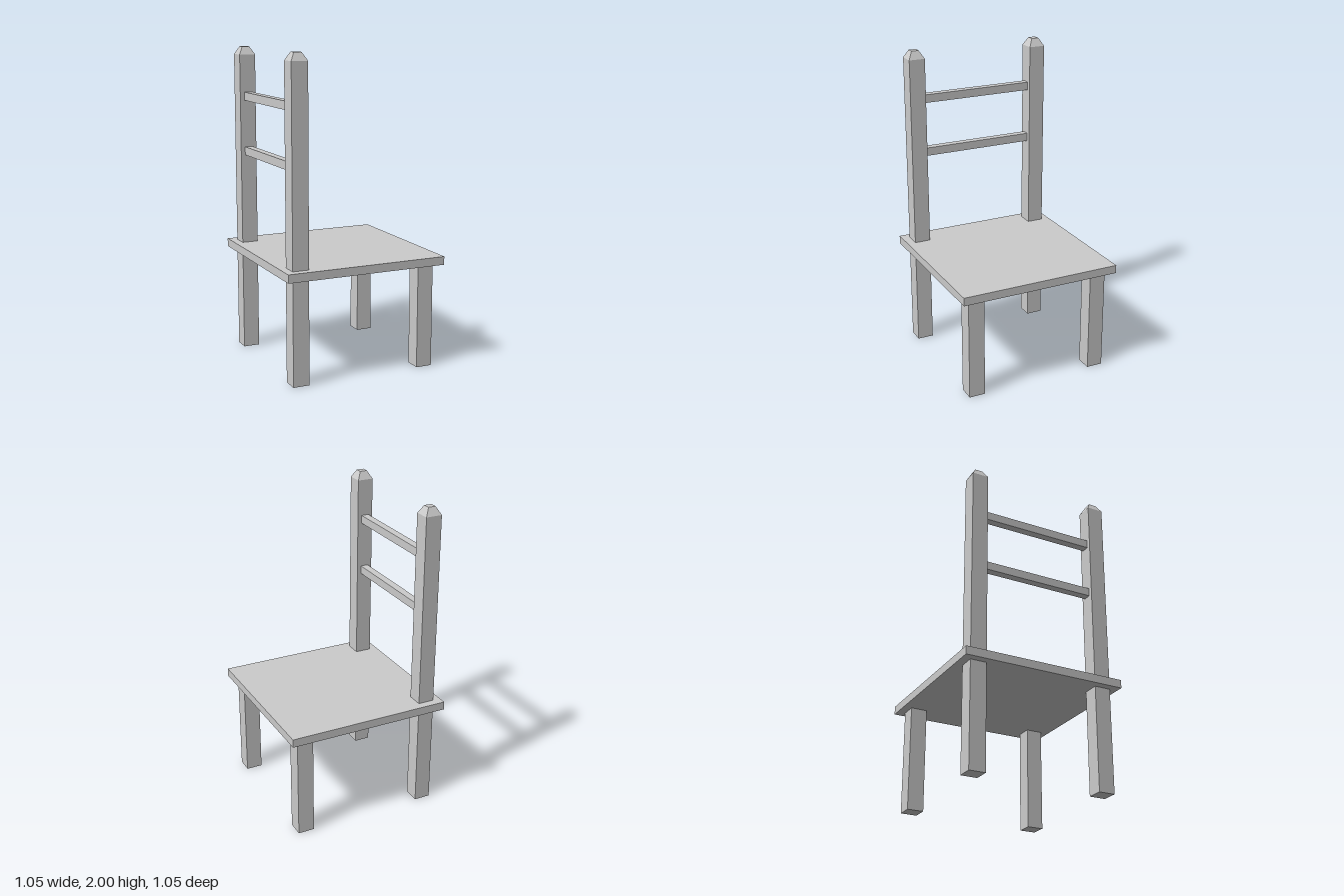
import * as THREE from 'three';

const material = new THREE.MeshStandardMaterial({ color: 0xcccccc, flatShading: true });

const LEG = 0.105;         // leg and post thickness
const OFFSET = 0.423;      // leg centres from the middle
const SEAT_BOTTOM = 0.667;
const SEAT_THICK = 0.053;
const SHOULDER = 1.95;     // where the post tops begin to taper

function addBox(parent, name, w, h, d, x, y, z) {
  const mesh = new THREE.Mesh(new THREE.BoxGeometry(w, h, d), material);
  mesh.name = name;
  mesh.position.set(x, y, z);
  parent.add(mesh);
  return mesh;
}

// Square post with a chamfered, flat-topped tip
function addPost(parent, name, x, z) {
  const r = LEG / 2 * Math.SQRT2;
  const profile = [[0, 0], [r, 0], [r, SHOULDER], [0.024 * Math.SQRT2, 2], [0, 2]]
    .map(([px, py]) => new THREE.Vector2(px, py));
  const geometry = new THREE.LatheGeometry(profile, 4, Math.PI / 4).toNonIndexed();
  geometry.computeVertexNormals();
  const mesh = new THREE.Mesh(geometry, material);
  mesh.name = name;
  mesh.position.set(x, 0, z);
  parent.add(mesh);
}

export function createModel() {
  const chair = new THREE.Group();
  chair.name = 'chair';

  // Square seat board
  addBox(chair, 'seat', 1.055, SEAT_THICK, 1.055, 0, SEAT_BOTTOM + SEAT_THICK / 2, 0);

  // Short legs on +x, tall back posts on -x
  for (const [side, s] of [['Front', 1], ['Rear', -1]]) {
    addBox(chair, 'leg' + side, LEG, SEAT_BOTTOM, LEG, OFFSET, SEAT_BOTTOM / 2, s * OFFSET);
    addPost(chair, 'backPost' + side, -OFFSET - 0.002, s * OFFSET);
  }

  // Rails between the back posts
  const span = 2 * OFFSET - LEG;
  addBox(chair, 'lowerRail', 0.05, 0.053, span, -0.425, 1.329, 0);
  addBox(chair, 'upperRail', 0.05, 0.053, span, -0.425, 1.684, 0);

  return chair;
}
